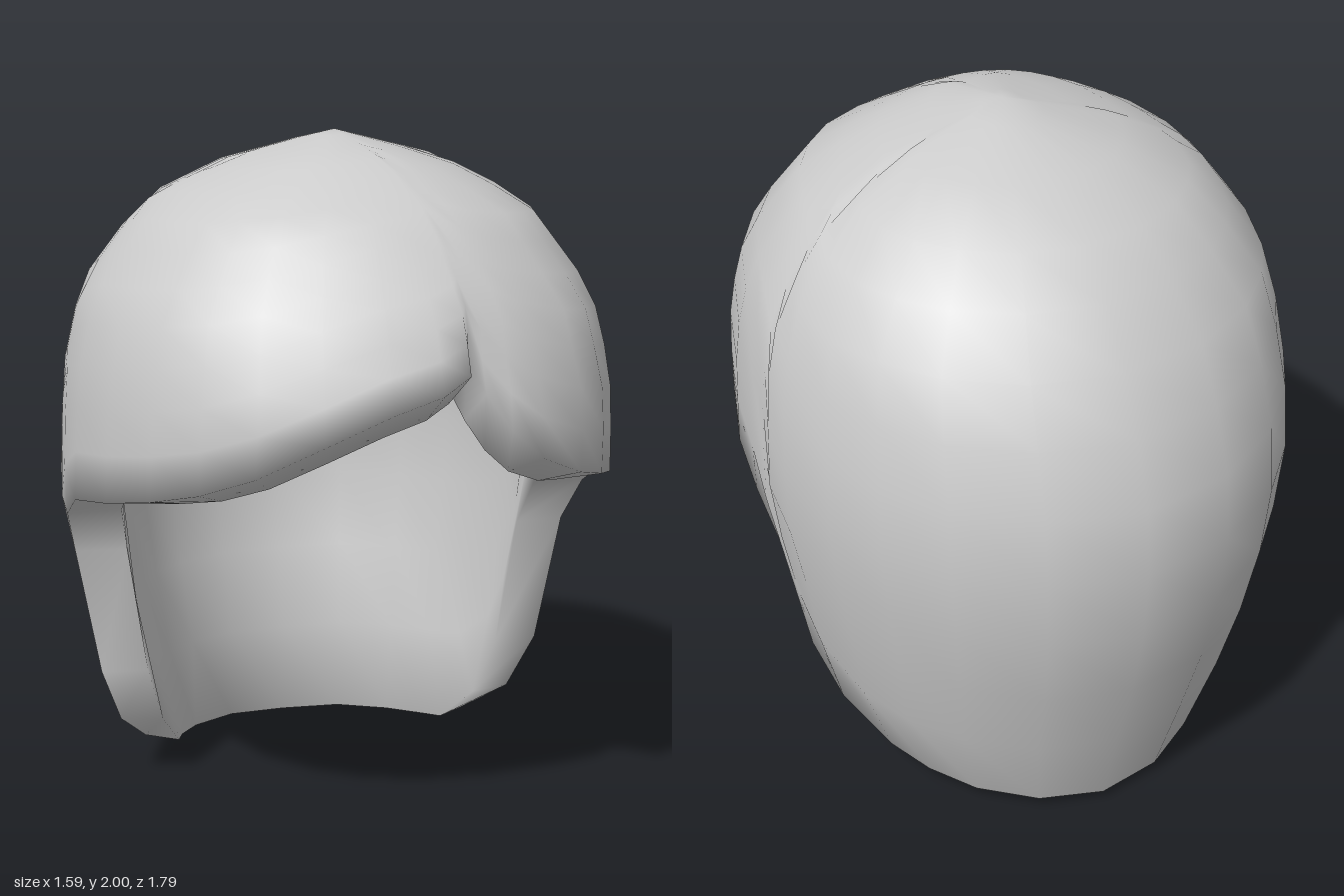
import * as THREE from 'three';

// Outline by height: y, half width, front z, back z
const SECTIONS = [
  [2.0, 0, 0.07, 0.07], [1.96, 0.16, 0.33, -0.11], [1.92, 0.31, 0.42, -0.26],
  [1.8, 0.55, 0.62, -0.51], [1.56, 0.73, 0.81, -0.72], [1.34, 0.78, 0.9, -0.83],
  [1.2, 0.79, 0.9, -0.88], [0.95, 0.8, 0.86, -0.9], [0.65, 0.74, 0.82, -0.86],
  [0.4, 0.7, 0.8, -0.77], [0.22, 0.65, 0.78, -0.72], [0.08, 0.58, 0.75, -0.68],
  [0, 0.55, 0.7, -0.66],
];

// Lower edge: angle from the front (towards +x), height, inward dent
const FRONT_EDGE = [
  [-40, 1.11, 0], [-28, 1.17, 0], [-15, 1.26, 0], [-3, 1.34, 0], [5, 1.38, 0],
  [11, 1.42, 0.02], [12.4, 1.45, 0.12], [15, 1.36, 0.08], [20, 1.26, 0.05],
  [27, 1.18, 0.01], [40, 1.11, 0],
];
const SIDE_EDGE = [
  [52, 1.07], [66, 1.03], [81, 0.99], [90, 0.91], [95.6, 0.77], [97.7, 0.38],
  [103.5, 0.2], [116, 0.085], [128, 0.065], [142, 0.05], [160, 0.04],
];
const EDGE = [
  ...SIDE_EDGE.map(([a, y]) => [-a, y, 0]).reverse(),
  ...FRONT_EDGE,
  ...SIDE_EDGE.map(([a, y]) => [a, y, 0]),
  [180, 0.03, 0],
];

const ROWS = 12;
const MID_Z = 0.05;
const { lerp, clamp, smoothstep } = THREE.MathUtils;
const power = (v, p) => Math.sign(v) * Math.abs(v) ** p;

function sectionAt(y) {
  let i = 0;
  while (i < SECTIONS.length - 2 && SECTIONS[i + 1][0] > y) i++;
  const [a, b] = [SECTIONS[i], SECTIONS[i + 1]];
  const t = clamp((a[0] - y) / (a[0] - b[0]), 0, 1);
  return a.map((v, k) => lerp(v, b[k], t));
}

// Point on the outer or inner skin, t running from crown (0) to lower edge (1)
function skinPoint([deg, edgeY, dent], t, inner) {
  const angle = THREE.MathUtils.degToRad(deg);
  const s = Math.sin(angle), c = Math.cos(angle);
  const y = 2 - (2 - edgeY) * t ** 1.7;
  const [, w, front, back] = sectionAt(y);
  const mid = lerp(MID_Z, 0.07, smoothstep(y, 1.8, 2));
  const p = c > 0 ? 0.9 : 1;
  let x = w * power(s, p);
  let z = c > 0 ? (front - mid) * power(c, p) : (mid - back) * c;
  // parting above the brow
  const fade = (1 - smoothstep(y, 1.38, 1.64)) * (inner ? 0.5 : 1);
  z -= dent * fade;
  if (!inner) return [x, y, mid + z];
  // the shell thins out at the nape
  const nape = smoothstep(-c, 0.3, 0.9) * (1 - smoothstep(y, 0.03, 0.3));
  const k = lerp(0.8 + 0.05 * Math.max(0, c), 0.94, nape);
  const drop = 0.13 * Math.max(0, y - 1) + 0.04 * Math.max(0, c) * t ** 4 + 0.03 * nape;
  return [x * k, y - drop, mid + z * k];
}

function hairGeometry() {
  const positions = [], index = [];
  const n = EDGE.length, rings = ROWS * 2;
  for (let i = 0; i < rings; i++) {
    const inner = i >= ROWS;
    const t = (inner ? rings - i : i + 1) / ROWS;
    for (const column of EDGE) positions.push(...skinPoint(column, t, inner));
  }
  const top = n * rings, under = top + 1;
  positions.push(0, 2, 0.07, 0, 1.87, 0.07);
  for (let j = 0; j < n; j++) {
    const k = (j + 1) % n, last = (rings - 1) * n;
    index.push(top, j, k, last + j, under, last + k);
    for (let i = 0; i < rings - 1; i++) {
      const a = i * n + j, b = i * n + k;
      index.push(a, a + n, b + n, a, b + n, b);
    }
  }
  const geometry = new THREE.BufferGeometry();
  geometry.setAttribute('position', new THREE.Float32BufferAttribute(positions, 3));
  geometry.setIndex(index);
  geometry.computeVertexNormals();
  return geometry;
}

export function createModel() {
  const group = new THREE.Group();
  group.name = 'hairpiece';
  const hair = new THREE.Mesh(
    hairGeometry(),
    new THREE.MeshStandardMaterial({ color: 0xcccccc }),
  );
  hair.name = 'hairShell';
  group.add(hair);
  return group;
}
